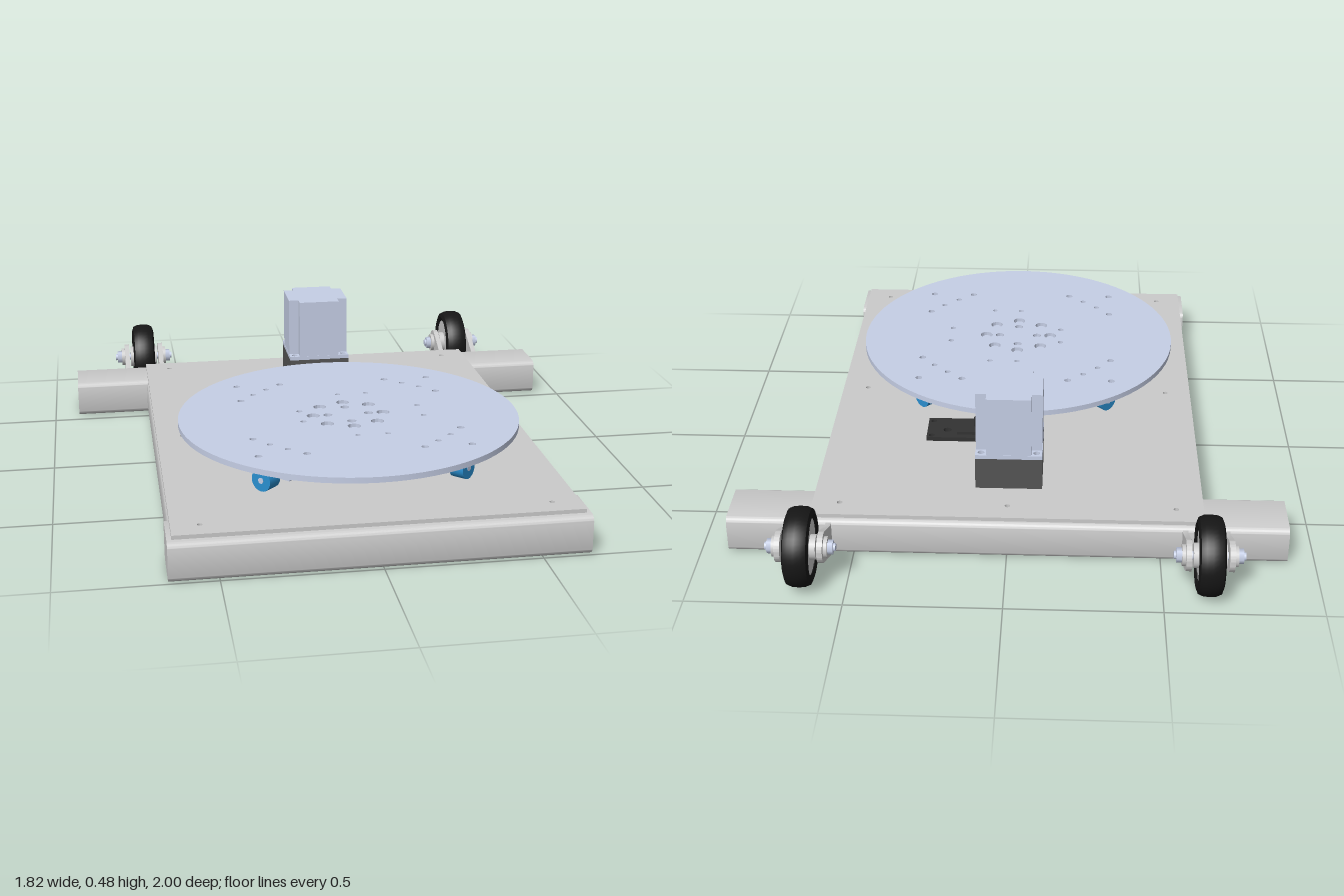
import * as THREE from 'three';
import { toCreasedNormals } from 'three/addons/utils/BufferGeometryUtils.js';

const mat = (color) => new THREE.MeshStandardMaterial({ color });
const GREY = mat(0xcccccc), STEEL = mat(0xc6cfe6), BLACK = mat(0x161616);
const DARK = mat(0x555555), BRACKET = mat(0x333333), BLUE = mat(0x2a8fd0);

function add(parent, name, geo, material, x = 0, y = 0, z = 0) {
  const m = new THREE.Mesh(geo, material);
  m.name = name;
  m.position.set(x, y, z);
  parent.add(m);
  return m;
}
const box = (w, h, d) => new THREE.BoxGeometry(w, h, d);
const cyl = (r, h, n = 32) => new THREE.CylinderGeometry(r, r, h, n);
const extrude = (shape, depth, curveSegments = 8) => toCreasedNormals(
  new THREE.ExtrudeGeometry(shape, { depth, bevelEnabled: false, curveSegments }), 0.5);

// Horizontal sheet with round holes [x, z, r], its base at y = 0
function sheet(shape, holes, depth, segs) {
  for (const [x, z, r] of holes) {
    shape.holes.push(new THREE.Path().absarc(x, -z, r, 0, Math.PI * 2, true));
  }
  return extrude(shape, depth, segs).rotateX(-Math.PI / 2);
}
function rect(x0, x1, z0, z1) {
  return new THREE.Shape([[x0, -z1], [x1, -z1], [x1, -z0], [x0, -z0]].map((p) => new THREE.Vector2(...p)));
}
const disc = (r) => new THREE.Shape().absarc(0, 0, r, 0, Math.PI * 2);

// Rectangular tube with rounded edges, centred, running along z
function beam(w, h, len, r = 0.024) {
  const s = new THREE.Shape(), a = w / 2 - r, b = h / 2 - r, q = Math.PI / 2;
  s.absarc(a, b, r, 0, q);
  s.absarc(-a, b, r, q, 2 * q);
  s.absarc(-a, -b, r, 2 * q, 3 * q);
  s.absarc(a, -b, r, 3 * q, 4 * q);
  s.closePath();
  return extrude(s, len).translate(0, 0, -len / 2);
}

function makeFrame() {
  const g = new THREE.Group();
  g.name = 'frame';
  add(g, 'frontBeam', beam(0.19, 0.13, 1.31).rotateY(Math.PI / 2), GREY, 0, 0.065, 0.905);
  add(g, 'rearBeam', beam(0.19, 0.13, 1.82).rotateY(Math.PI / 2), GREY, 0, 0.065, -0.635);
  for (const s of [-1, 1]) add(g, 'sideRail', beam(0.19, 0.13, 1.36), GREY, s * 0.55, 0.065, 0.135);
  const holes = [[0, -0.64, 0.009]];
  for (const s of [-1, 1]) for (const z of [-0.64, 0.13, 0.9]) holes.push([s * 0.55, z, 0.009]);
  add(g, 'deckPlate', sheet(rect(-0.64, 0.64, -0.71, 0.97), holes, 0.014), GREY, 0, 0.129, 0);
  return g;
}

function makeTurntable() {
  const g = new THREE.Group();
  g.name = 'turntable';
  g.position.z = 0.335;
  const holes = [], bolts = [];
  for (const sx of [-1, 1]) for (const sz of [-1, 1]) {
    holes.push([sx * 0.345, sz * 0.345, 0.012], [sx * 0.345, sz * 0.19, 0.012], [sx * 0.19, sz * 0.345, 0.012]);
    holes.push([sx * 0.245, sz * 0.297, 0.01], [sx * 0.297, sz * 0.247, 0.01]);
    holes.push([0.045 + sx * 0.205, sz * 0.051, 0.01], [0.047 + sx * 0.05, sz * 0.206, 0.009]);
  }
  for (let i = 0; i < 8; i++) {
    const a = i * Math.PI / 4;
    bolts.push([0.12 * Math.cos(a), 0.12 * Math.sin(a), 0.022]);
    if (i % 2 === 0) bolts.push([0.07 * Math.cos(a), 0.07 * Math.sin(a), 0.015]);
  }
  add(g, 'turntableDisc', sheet(disc(0.575), [...holes, ...bolts], 0.019, 40), STEEL, 0, 0.247, 0);
  for (const [x, z, r] of bolts) add(g, 'boltHead', cyl(r * 0.65, 0.01, 16), STEEL, x, 0.252, z);

  // Bearing stack and the driven pulley beneath the deck
  add(g, 'bearingBase', cyl(0.203, 0.055, 64), STEEL, 0, 0.169, 0);
  add(g, 'bearingNeck', cyl(0.12, 0.06, 48), STEEL, 0, 0.21, 0);
  add(g, 'bearingTop', cyl(0.153, 0.044, 64), STEEL, 0, 0.225, 0);
  const ring = [[0, 0, 0.014]];
  for (let i = 0; i < 8; i++) {
    const a = i * Math.PI / 4;
    ring.push([0.12 * Math.cos(a), 0.12 * Math.sin(a), 0.01]);
  }
  add(g, 'drivenPulleyFace', sheet(disc(0.235), ring, 0.012, 32), STEEL, 0, 0.03, 0);
  add(g, 'drivenPulley', cyl(0.23, 0.09, 64), STEEL, 0, 0.086, 0);

  // Four support rollers, each on an angle bracket turned outwards
  for (let i = 0; i < 4; i++) {
    const r = new THREE.Group();
    r.name = 'supportRoller';
    r.rotation.y = Math.PI / 4 + i * Math.PI / 2;
    add(r, 'bracketTop', box(0.1, 0.014, 0.09), STEEL, 0.375, 0.24, 0);
    add(r, 'bracketLeg', box(0.014, 0.09, 0.08), STEEL, 0.375, 0.2, 0);
    add(r, 'rollerAxle', cyl(0.01, 0.11, 12).rotateZ(Math.PI / 2), STEEL, 0.425, 0.18, 0);
    add(r, 'roller', cyl(0.037, 0.052, 24).rotateZ(Math.PI / 2), BLUE, 0.452, 0.18, 0);
    g.add(r);
  }
  return g;
}

function makeMotor() {
  const g = new THREE.Group();
  g.name = 'motor';
  g.position.z = -0.425;
  add(g, 'motorMount', box(0.222, 0.118, 0.222), DARK, 0, 0.197, 0);
  const corners = [];
  for (const x of [-1, 1]) for (const z of [-1, 1]) corners.push([x * 0.092, z * 0.092, 0.011]);
  add(g, 'motorFlange', sheet(rect(-0.111, 0.111, -0.111, 0.111), corners, 0.014), STEEL, 0, 0.256, 0);
  // Body with its four corners cut back
  const a = 0.11, b = 0.074, s = new THREE.Shape();
  const quarter = [[a, -b], [a, b], [b, b], [b, a]];
  for (let i = 0, first = true; i < 4; i++) {
    for (const [x, y] of quarter) {
      const c = [1, 0, -1, 0][i], n = [0, 1, 0, -1][i];
      s[first ? 'moveTo' : 'lineTo'](x * c - y * n, x * n + y * c);
      first = false;
      if (x === b && y === a) break;
    }
  }
  s.closePath();
  add(g, 'motorBody', sheet(s, [], 0.212), STEEL, 0, 0.268, 0);
  add(g, 'motorPulley', cyl(0.07, 0.085), STEEL, 0, 0.072, 0);
  add(g, 'motorShaft', cyl(0.016, 0.13, 16), DARK, 0, 0.085, 0);
  return g;
}

function makeTensioner() {
  const g = new THREE.Group();
  g.name = 'beltTensioner';
  const holes = [[0.282, -0.228, 0.01], [0.282, -0.13, 0.01], [0.23, -0.19, 0.014], [0.02, -0.228, 0.01]];
  add(g, 'tensionerPlate', sheet(rect(0, 0.3, -0.242, -0.11), holes, 0.015), BRACKET, 0, 0.143, 0);
  add(g, 'tensionerSlide', box(0.14, 0.012, 0.09), BRACKET, 0.125, 0.163, -0.176);
  add(g, 'tensionerBolt', cyl(0.012, 0.17, 16), BRACKET, 0.125, 0.118, -0.176);
  add(g, 'idlerPulley', cyl(0.085, 0.075), STEEL, 0.125, 0.075, -0.176);
  add(g, 'idlerHub', cyl(0.022, 0.012, 20), DARK, 0.125, 0.034, -0.176);
  return g;
}

function makeWheel(side) {
  const g = new THREE.Group();
  g.name = side > 0 ? 'leftWheel' : 'rightWheel';
  g.position.set(side * 0.643, 0.128, -0.872);
  const onX = (geo) => geo.rotateZ(Math.PI / 2);
  // Tyre profile as radius, half width
  const p = [[0.09, -0.036], [0.104, -0.042], [0.12, -0.036], [0.127, -0.02], [0.128, 0],
    [0.127, 0.02], [0.12, 0.036], [0.104, 0.042], [0.09, 0.036], [0.09, -0.036]];
  const tyre = new THREE.LatheGeometry(p.map((q) => new THREE.Vector2(...q)), 48);
  add(g, 'tyre', onX(toCreasedNormals(tyre, 0.75)), BLACK);
  add(g, 'wheelHub', onX(cyl(0.091, 0.066, 40)), GREY);
  add(g, 'hubBoss', onX(cyl(0.04, 0.105, 24)), GREY);
  add(g, 'axle', onX(cyl(0.013, 0.225, 16)), STEEL);
  for (const s of [-1, 1]) {
    // Fork arm from the rear beam up to the axle, drawn in z and y
    const arm = new THREE.Shape();
    arm.moveTo(0.16, -0.118);
    arm.lineTo(0.16, -0.008);
    arm.lineTo(0.13, -0.008);
    arm.lineTo(0.022, 0.045);
    arm.absarc(0, 0, 0.05, 1.11, 4.25);
    arm.lineTo(0.13, -0.118);
    arm.closePath();
    const geo = extrude(arm, 0.018, 16).rotateY(-Math.PI / 2);
    add(g, 'forkArm', geo, GREY, s * 0.067 + 0.009, 0, 0);
    add(g, 'washer', onX(cyl(0.034, 0.012, 24)), GREY, s * 0.082);
    add(g, 'axleNut', onX(cyl(0.024, 0.018, 6)), STEEL, s * 0.096);
  }
  return g;
}

export function createModel() {
  const model = new THREE.Group();
  model.name = 'turntableCart';
  model.add(makeFrame(), makeTurntable(), makeMotor(), makeTensioner(), makeWheel(1), makeWheel(-1));
  return model;
}
